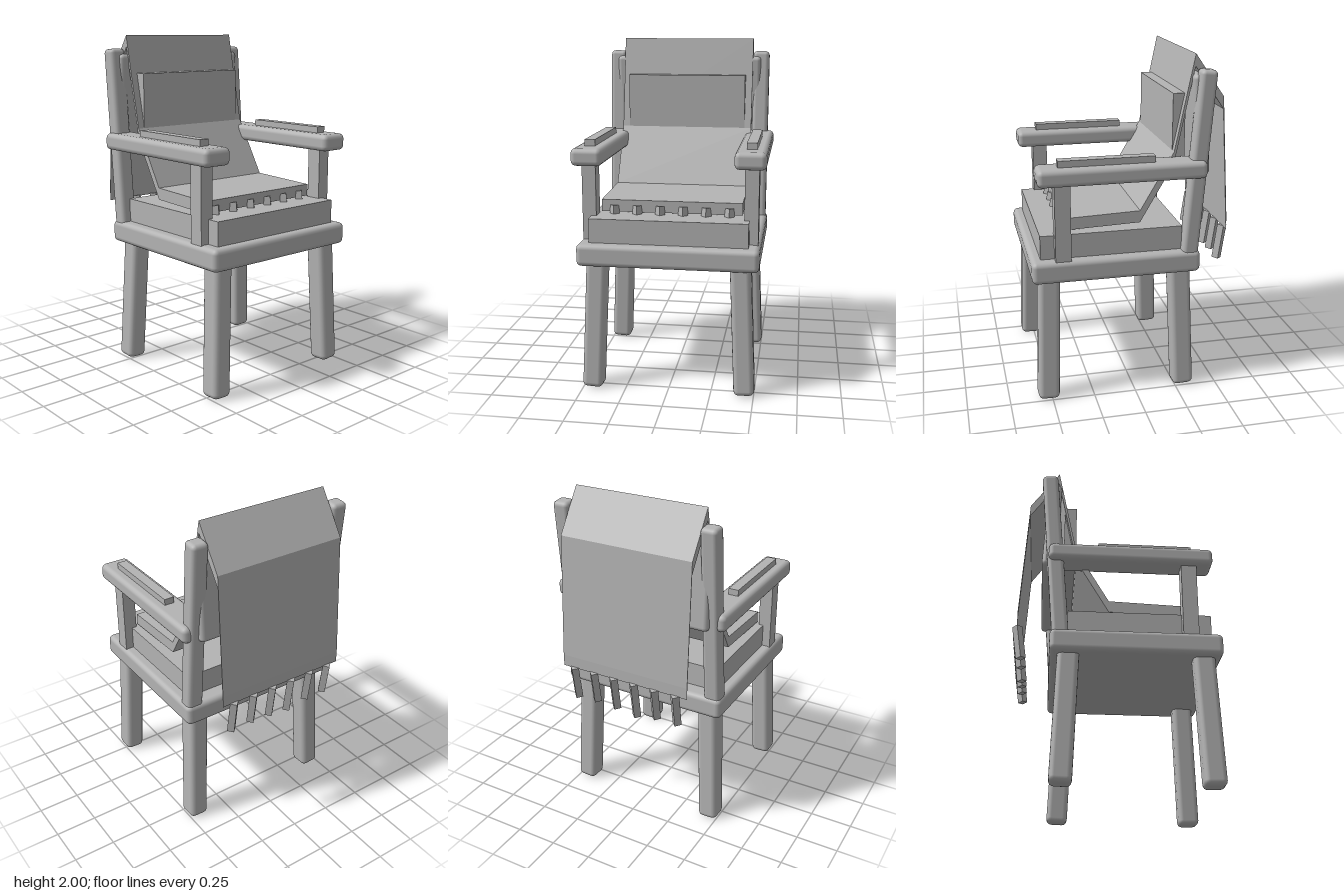
import * as THREE from 'three';
import { RoundedBoxGeometry } from 'three/addons/geometries/RoundedBoxGeometry.js';

const grey = new THREE.MeshStandardMaterial({ color: 0xb4b4b4 });
grey.name = 'plain grey';

export function createModel() {
  const group = new THREE.Group();

  const add = (name, geometry) => {
    const mesh = new THREE.Mesh(geometry, grey);
    mesh.name = name;
    group.add(mesh);
    return mesh;
  };

  // Box given by its min and max on each axis, with optional rounded edges
  const box = (name, [x0, x1], [y0, y1], [z0, z1], radius = 0) => {
    const size = [x1 - x0, y1 - y0, z1 - z0];
    const geometry = radius
      ? new RoundedBoxGeometry(...size, 2, radius)
      : new THREE.BoxGeometry(...size);
    const mesh = add(name, geometry);
    mesh.position.set((x0 + x1) / 2, (y0 + y1) / 2, (z0 + z1) / 2);
    return mesh;
  };

  // Rounded bar running between two points
  const bar = (name, from, to, width, depth, radius) => {
    const a = new THREE.Vector3(...from);
    const b = new THREE.Vector3(...to);
    const dir = b.clone().sub(a);
    const mesh = add(name, new RoundedBoxGeometry(width, dir.length(), depth, 2, radius));
    mesh.position.copy(a).add(b).multiplyScalar(0.5);
    mesh.quaternion.setFromUnitVectors(new THREE.Vector3(0, 1, 0), dir.normalize());
    return mesh;
  };

  // Seat and cushion
  box('seatFrame', [-0.52, 0.52], [0.75, 0.88], [-0.38, 0.6], 0.03);
  box('seatCushion', [-0.455, 0.455], [0.86, 1.02], [-0.28, 0.545]);

  // Paired parts
  for (const s of [-1, 1]) {
    const side = s > 0 ? 'left' : 'right';
    bar(side + 'FrontLeg', [s * 0.445, 0.005, 0.52], [s * 0.41, 0.82, 0.495], 0.12, 0.125, 0.03);
    bar(side + 'BackLeg', [s * 0.445, 0.005, -0.3], [s * 0.41, 0.82, -0.27], 0.12, 0.125, 0.03);
    bar(side + 'BackPost', [s * 0.46, 0.75, -0.312], [s * 0.46, 1.92, -0.406], 0.1, 0.095, 0.025);

    const xs = (a, b) => (s > 0 ? [a, b] : [-b, -a]);
    box(side + 'ArmPost', xs(0.425, 0.505), [0.86, 1.34], [0.375, 0.465]);
    box(side + 'Armrest', xs(0.37, 0.548), [1.32, 1.42], [-0.4, 0.56], 0.03);
    box(side + 'ArmPad', xs(0.43, 0.49), [1.41, 1.457], [-0.11, 0.44]);
  }

  // Backrest and its pillow
  bar('backPanel', [0, 1.32, -0.4], [0, 1.89, -0.37], 0.92, 0.08, 0.025);
  box('backPillow', [-0.368, 0.368], [1.4, 1.776], [-0.31, -0.237]);

  // Throw draped from the seat over the backrest: (z, y) path of its upper face
  const path = [
    [0.385, 1.1], [-0.042, 1.115], [-0.237, 1.45],
    [-0.35, 2], [-0.52, 1.755], [-0.566, 1.03],
  ];
  const upper = path.map(([z, y]) => new THREE.Vector2(z, y));
  const lower = path.map(([z, y]) => new THREE.Vector2(z, y - 0.07)).reverse();
  const drape = new THREE.ExtrudeGeometry(new THREE.Shape([...upper, ...lower]), {
    depth: 0.82, bevelEnabled: false,
  });
  drape.rotateY(-Math.PI / 2);
  drape.translate(0.41, 0, 0);
  add('throwBlanket', drape);

  // Tassels at both ends of the throw
  const lengths = [0.2, 0.2, 0.23, 0.21, 0.2, 0.21];
  lengths.forEach((length, i) => {
    const x = -0.335 + i * 0.134;
    for (const [name, y, z] of [['frontTassel', 1.068, 0.38], ['backTassel', 0.965, -0.567]]) {
      const geometry = new THREE.CylinderGeometry(0.029, 0.029, length, 4).toNonIndexed();
      geometry.computeVertexNormals();
      geometry.translate(0, -length / 2, 0);
      const tassel = add(name, geometry);
      tassel.position.set(x, y, z);
      tassel.rotation.x = -0.14;
    }
  });

  return group;
}
